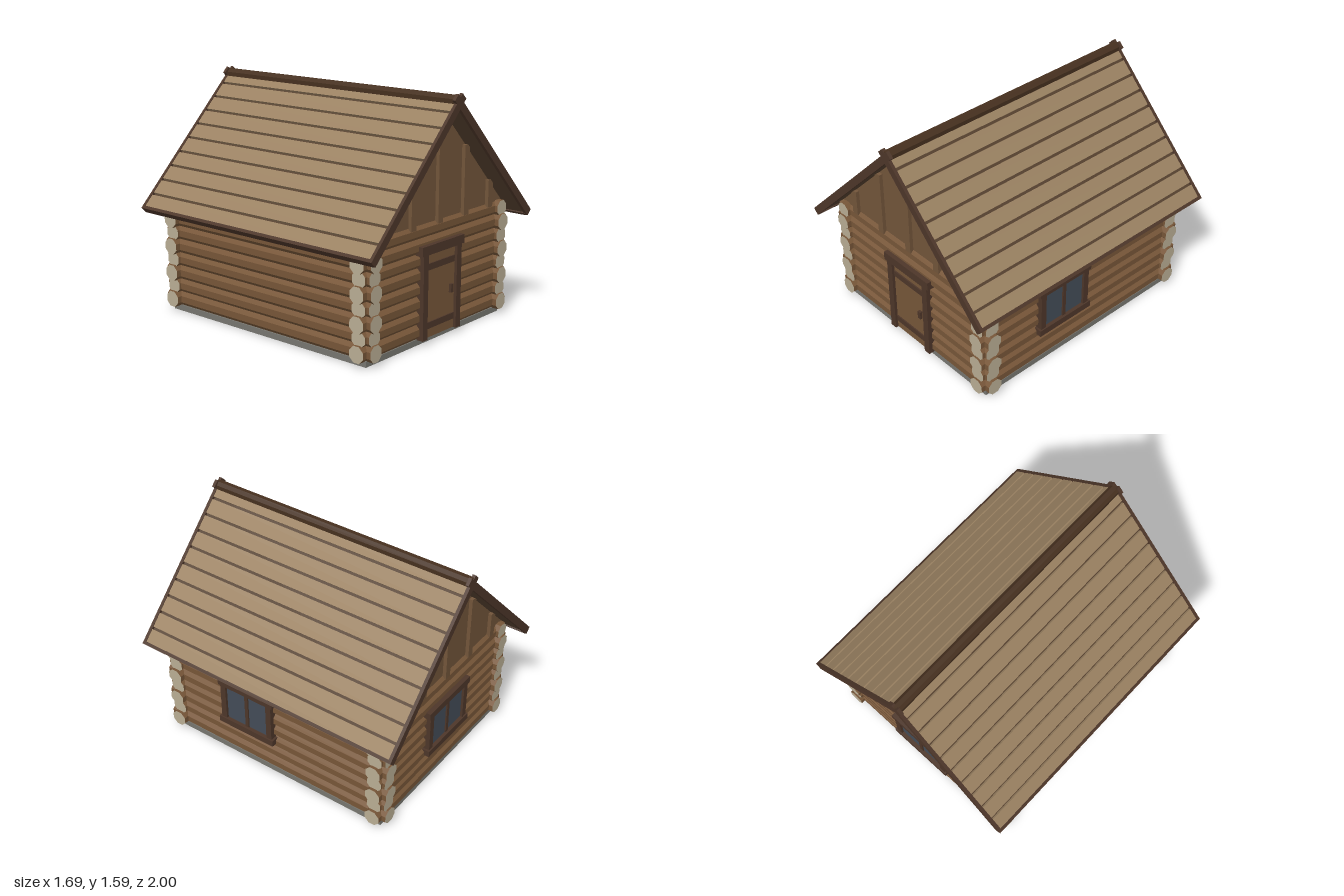
import * as THREE from 'three';

const mat = (name, color) => {
  const m = new THREE.MeshStandardMaterial({ color });
  m.name = name;
  return m;
};

export function createModel() {
  const M = {
    log: mat('log brown', 0x775638),
    end: mat('cut log cream', 0xb9ad94),
    gable: mat('gable board brown', 0x72553a),
    door: mat('door brown', 0x765639),
    trim: mat('dark trim', 0x4d3629),
    deck: mat('roof deck brown', 0x56412f),
    plank: mat('roof plank tan', 0x9b8262),
    stone: mat('foundation grey', 0x77766f),
    glass: mat('window glass', 0x434c57),
    ridge: mat('ridge brown', 0x46301f),
  };
  const cabin = new THREE.Group();
  cabin.name = 'logCabin';

  const add = (parent, name, geo, material, x = 0, y = 0, z = 0) => {
    const m = new THREE.Mesh(geo, material);
    m.name = name;
    m.position.set(x, y, z);
    parent.add(m);
    return m;
  };
  // box given by its centre and size
  const box = (parent, name, material, x, y, z, w, h, d) =>
    add(parent, name, new THREE.BoxGeometry(w, h, d), material, x, y, z);
  const sub = (name) => {
    const g = new THREE.Group();
    g.name = name;
    cabin.add(g);
    return g;
  };

  // stone base and the solid core behind the logs
  box(cabin, 'foundation', M.stone, 0, 0.02, 0, 1.41, 0.04, 1.7);
  box(cabin, 'wallCore', M.log, 0, 0.39, 0, 1.34, 0.7, 1.63);

  // eight courses of octagonal logs with pale cut ends
  const octagonLog = (r, length) => {
    const g = new THREE.CylinderGeometry(r, r, length, 8).toNonIndexed();
    g.rotateY(Math.PI / 8);
    g.computeVertexNormals();
    return g;
  };
  const logMats = [M.log, M.end, M.end];
  const walls = sub('logWalls');
  for (let i = 0; i < 8; i++) {
    const y = 0.088 + i * 0.0925;
    const odd = i % 2;
    const r = odd ? 0.0555 : 0.0575;
    for (const s of [-1, 1]) {
      add(walls, s > 0 ? 'frontLog' : 'backLog',
        octagonLog(r, odd ? 1.47 : 1.51).rotateZ(Math.PI / 2), logMats, 0, y, s * 0.815);
      add(walls, s > 0 ? 'leftLog' : 'rightLog',
        octagonLog(r, odd ? 1.77 : 1.796).rotateX(Math.PI / 2), logMats, s * 0.668, y, 0);
    }
  }

  // gable walls with vertical battens
  const tri = new THREE.Shape([
    new THREE.Vector2(-0.735, 0.765), new THREE.Vector2(0.735, 0.765), new THREE.Vector2(0, 1.5),
  ]);
  for (const s of [-1, 1]) {
    const g = sub(s > 0 ? 'frontGable' : 'backGable');
    add(g, 'gableWall', new THREE.ExtrudeGeometry(tri, { depth: 0.04, bevelEnabled: false }), M.gable, 0, 0, 0.805);
    for (const x of [-0.55, -0.275, 0, 0.275, 0.55]) {
      const top = 1.495 - Math.abs(x);
      box(g, 'batten', M.gable, x, (top + 0.76) / 2, 0.857, 0.05, top - 0.76, 0.026);
    }
    if (s < 0) g.rotation.y = Math.PI;
  }

  // roof slopes: local x runs down the slope, local y = 0 is the top surface
  const slope = Math.PI / 4 + 0.005;
  for (const s of [-1, 1]) {
    const roof = sub(s > 0 ? 'leftRoof' : 'rightRoof');
    roof.position.y = 1.562;
    roof.rotation.z = -s * slope;
    box(roof, 'roofDeck', M.deck, s * 0.59, -0.029, 0, 1.18, 0.026, 1.97);
    for (let k = 0; k < 10; k++) {
      box(roof, 'roofPlank', M.plank, s * (0.053 + k * 0.12), -0.009, 0, 0.102, 0.018, 1.97);
    }
    box(roof, 'eaveBoard', M.trim, s * 1.186, -0.024, 0, 0.022, 0.054, 1.98);
    for (const e of [-1, 1]) {
      box(roof, 'bargeBoard', M.trim, s * 0.582, -0.023, e * 0.989, 1.23, 0.052, 0.022);
    }
  }
  const ridge = new THREE.CylinderGeometry(0.038, 0.038, 1.99, 8).toNonIndexed();
  ridge.rotateY(Math.PI / 8).rotateX(Math.PI / 2);
  ridge.computeVertexNormals();
  add(cabin, 'ridgeBeam', ridge, M.ridge, 0, 1.54, 0);

  // front door
  const door = sub('door');
  box(door, 'doorPanel', M.door, 0, 0.315, 0.855, 0.31, 0.555, 0.04);
  for (const s of [-1, 1]) box(door, 'doorPost', M.trim, s * 0.176, 0.315, 0.865, 0.048, 0.56, 0.06);
  box(door, 'doorLintel', M.trim, 0, 0.62, 0.867, 0.44, 0.06, 0.066);
  for (const y of [0.12, 0.505]) box(door, 'doorBand', M.trim, -0.002, y, 0.878, 0.286, 0.042, 0.012);
  box(door, 'doorHandle', M.trim, 0.109, 0.313, 0.883, 0.026, 0.056, 0.022);

  // windows, built facing +z at the wall surface
  const windowUnit = (name, width) => {
    const g = sub(name);
    box(g, 'windowGlass', M.glass, 0, 0.445, 0, width - 0.06, 0.28, 0.02);
    for (const s of [-1, 1]) {
      box(g, 'windowPost', M.trim, s * (width / 2 - 0.036), 0.445, 0.002, 0.042, 0.28, 0.05);
    }
    box(g, 'windowMullion', M.trim, 0, 0.445, 0.002, 0.026, 0.28, 0.036);
    box(g, 'windowLintel', M.trim, 0, 0.605, 0.002, width, 0.048, 0.06);
    box(g, 'windowSill', M.trim, 0, 0.292, 0.004, width, 0.045, 0.064);
    return g;
  };
  const side = windowUnit('leftWindow', 0.45);
  side.position.set(0.722, 0, 0.2);
  side.rotation.y = Math.PI / 2;
  const back = windowUnit('backWindow', 0.48);
  back.position.set(0, 0, -0.869);
  back.rotation.y = Math.PI;

  return cabin;
}
